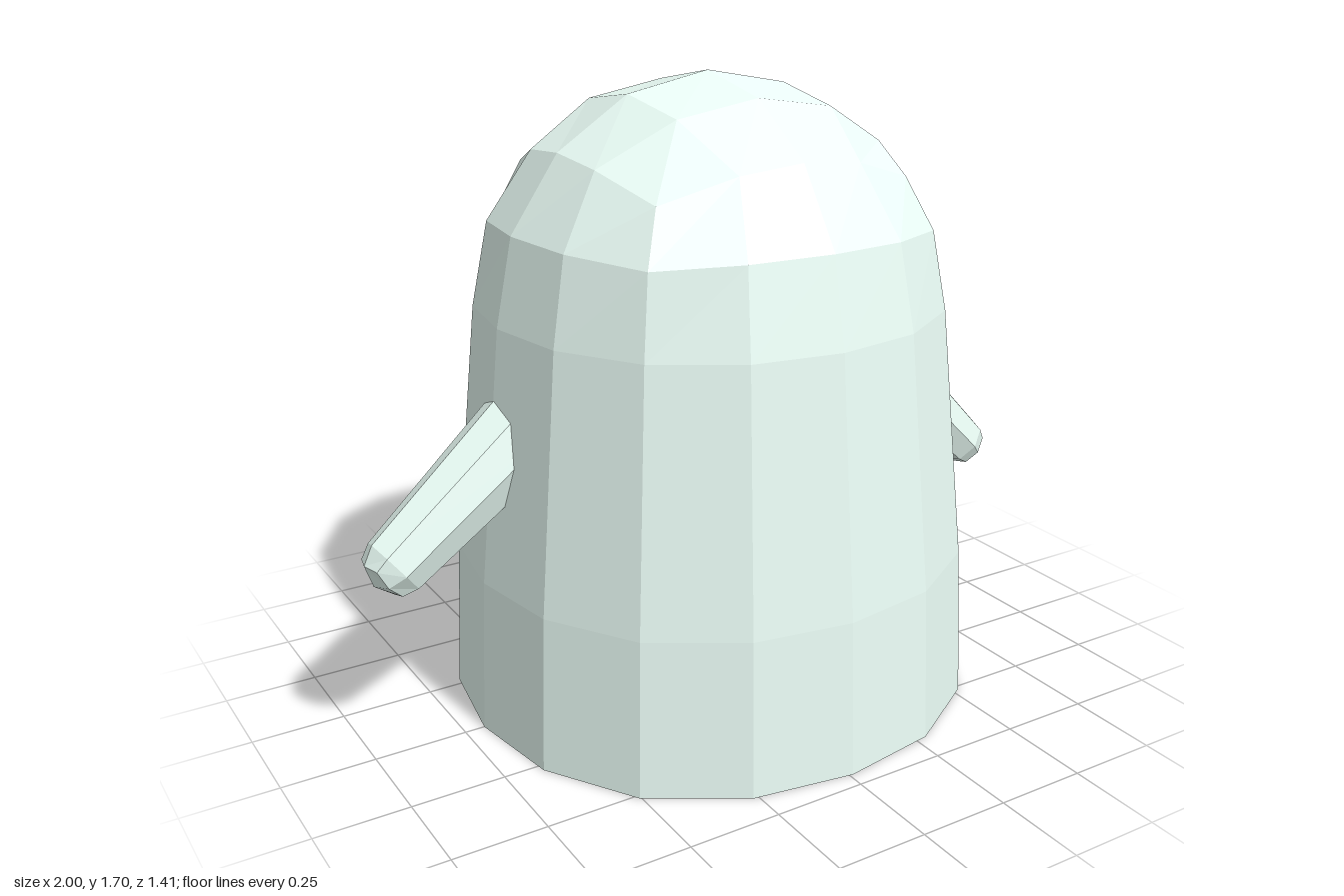
import * as THREE from 'three';

const material = new THREE.MeshStandardMaterial({ color: 0xecfff8, flatShading: true });

// A subdivided box reshaped into a post: the upper half becomes a round dome,
// the lower rows become near-circular rings [radius, y], and the underside is flat.
function domedPost(divisions, domeRadius, domeHeight, domeY, rings) {
  const geometry = new THREE.BoxGeometry(2, 2, 2, divisions, divisions, divisions);
  const pos = geometry.attributes.position;
  const spread = (t) => Math.tan((t * Math.PI) / 4);
  const v = new THREE.Vector3();
  for (let i = 0; i < pos.count; i++) {
    const x = pos.getX(i), y = pos.getY(i), z = pos.getZ(i);
    const sx = spread(x), sz = spread(z);
    // Slightly fuller on the diagonals
    const full = 1 + 0.03 * Math.sin(2 * Math.atan2(sz, sx)) ** 2;
    if (y > -0.01) {
      // Keep the rows below the crown nearly level
      const level = y < 0.99 ? Math.hypot(sx, sz) ** 0.7 : 1;
      v.set(sx, spread(y) * level, sz).normalize();
      pos.setXYZ(i, v.x * domeRadius * full, domeY + v.y * domeHeight, v.z * domeRadius * full);
    } else {
      const row = Math.round((-y * divisions) / 2) - 1;
      const [radius, ringY] = rings[row];
      const reach = Math.max(Math.abs(x), Math.abs(z));
      v.set(sx, 0, sz).normalize().multiplyScalar(radius * reach * full);
      pos.setXYZ(i, v.x, ringY, v.z);
    }
  }
  geometry.computeVertexNormals();
  return geometry;
}

export function createModel() {
  const group = new THREE.Group();

  // Tapered body with a domed head
  const body = new THREE.Mesh(
    domedPost(4, 0.617, 0.6, 1.1, [[0.685, 0.42], [0.705, 0]]), material);
  body.name = 'body';
  body.position.x = 0.009;
  group.add(body);

  // Stubby arms, each placed at the base of its rounded tip
  const arms = [
    { name: 'leftArm', tip: [0.923, 0.511, 0], angle: -2.33, yaw: 0, thickness: 0.92, radius: 0.084, root: 0.112 },
    { name: 'rightArm', tip: [-0.922, 0.537, 0.016], angle: 2.228, yaw: 0.05, thickness: 1.06, radius: 0.082, root: 0.113 },
  ];
  for (const a of arms) {
    const arm = new THREE.Mesh(domedPost(2, a.radius, 0.07, 0, [[a.root, -0.5]]), material);
    arm.name = a.name;
    arm.position.set(...a.tip);
    arm.rotation.set(0, a.yaw, a.angle);
    arm.scale.x = a.thickness;
    group.add(arm);
  }
  return group;
}
